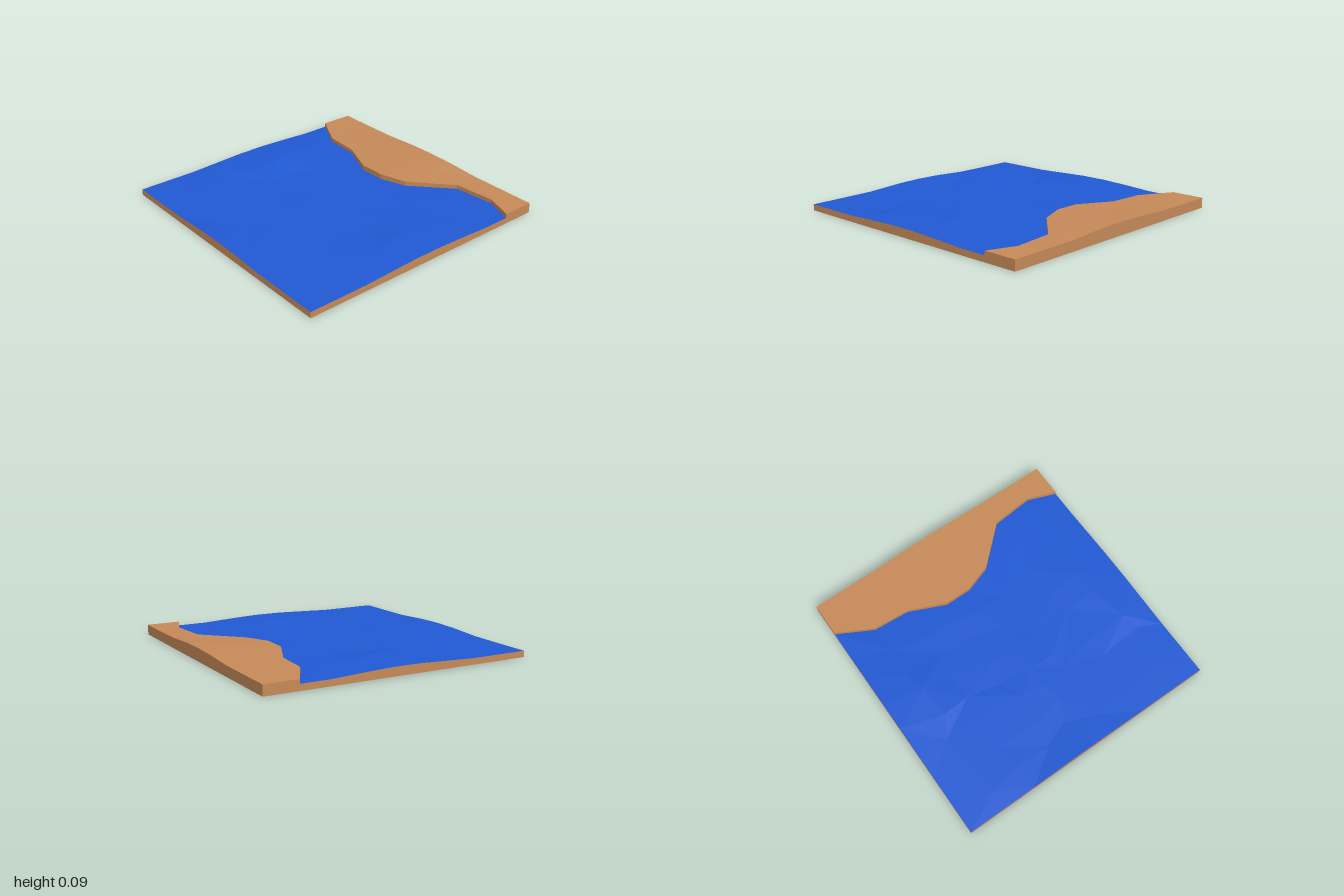
import * as THREE from 'three';

// Shoreline, back to front: [x, z, height of the bank top]
const SHORE = [
  [0.75, -1, 0.075], [0.61, -0.74, 0.075], [0.59, -0.47, 0.075], [0.47, -0.2, 0.083], [0.47, 0, 0.085],
  [0.54, 0.2, 0.078], [0.8, 0.48, 0.075], [0.83, 0.79, 0.075], [0.75, 1, 0.075],
];
const COLS = 8;

// Gentle swell in the middle of every border
const swell = (t) => 0.02 * Math.max(0, Math.cos(Math.PI * t));

// Seeded jitter in -1..1
function seeded(seed) {
  return () => {
    seed = (seed * 16807) % 2147483647;
    return (seed / 2147483647) * 2 - 1;
  };
}

// Joins rows of points into a faceted sheet, alternating the diagonals
function sheet(rows, alternate = true) {
  const pos = [];
  for (let i = 0; i < rows.length - 1; i++) {
    for (let j = 0; j < rows[i].length - 1; j++) {
      const a = rows[i][j], b = rows[i + 1][j], c = rows[i + 1][j + 1], d = rows[i][j + 1];
      if (alternate && (i + j) % 2) pos.push(...a, ...b, ...d, ...b, ...c, ...d);
      else pos.push(...a, ...b, ...c, ...a, ...c, ...d);
    }
  }
  const g = new THREE.BufferGeometry();
  g.setAttribute('position', new THREE.Float32BufferAttribute(pos, 3));
  g.computeVertexNormals();
  return g;
}

export function createModel() {
  const group = new THREE.Group();
  const flat = { flatShading: true, side: THREE.DoubleSide };
  const water = new THREE.MeshStandardMaterial({ name: 'water blue', color: 0x2159d4, ...flat });
  const earth = new THREE.MeshStandardMaterial({ name: 'sand brown', color: 0xc68a58, ...flat });
  const add = (name, geometry, material) => {
    const mesh = new THREE.Mesh(geometry, material);
    mesh.name = name;
    group.add(mesh);
  };

  // Rippled water from the left border to the shore
  const rand = seeded(4711);
  const last = SHORE.length - 1;
  const waterRows = SHORE.map(([sx, z], i) => {
    const row = [];
    for (let j = 0; j <= COLS; j++) {
      const x = -1 + ((sx + 1) * j) / COLS;
      if (i === 0 || i === last) row.push([x, 0.045 + swell(x), z]);
      else if (j === 0) row.push([x, 0.045 + swell(z), z]);
      else if (j === COLS) row.push([x, 0.045, z]);
      else {
        const crest = Math.abs(z) > 0.7 ? 1.3 * swell(x) : 0;
        row.push([x + 0.07 * rand(), 0.05 + 0.005 * rand() + crest, z + 0.06 * rand()]);
      }
    }
    return row;
  });
  add('water', sheet(waterRows), water);

  // Raised land between the shore and the right border
  const landRows = SHORE.map(([x, z, y]) => {
    const edge = 0.075 + swell(z);
    return [[x, y, z], [(x + 1) / 2, (y + edge) / 2 - (edge - 0.075) * 0.2, z], [1, edge, z]];
  });
  add('land', sheet(landRows, false), earth);

  // Steep bank from the land down to the water
  add('bank', sheet([
    SHORE.map(([x, z, y]) => [x, y, z]),
    SHORE.map(([x, z]) => [x, 0.042, z]),
  ], false), earth);

  // Border walls, open underneath
  const wall = (name, top) => add(name, sheet([top, top.map(([x, , z]) => [x, 0, z])], false), earth);
  wall('frontWall', [...waterRows[last], ...landRows[last]]);
  wall('backWall', [...waterRows[0], ...landRows[0]].reverse());
  wall('leftSideWall', landRows.map((r) => r[2]).reverse());
  wall('rightSideWall', waterRows.map((r) => r[0]));

  return group;
}
